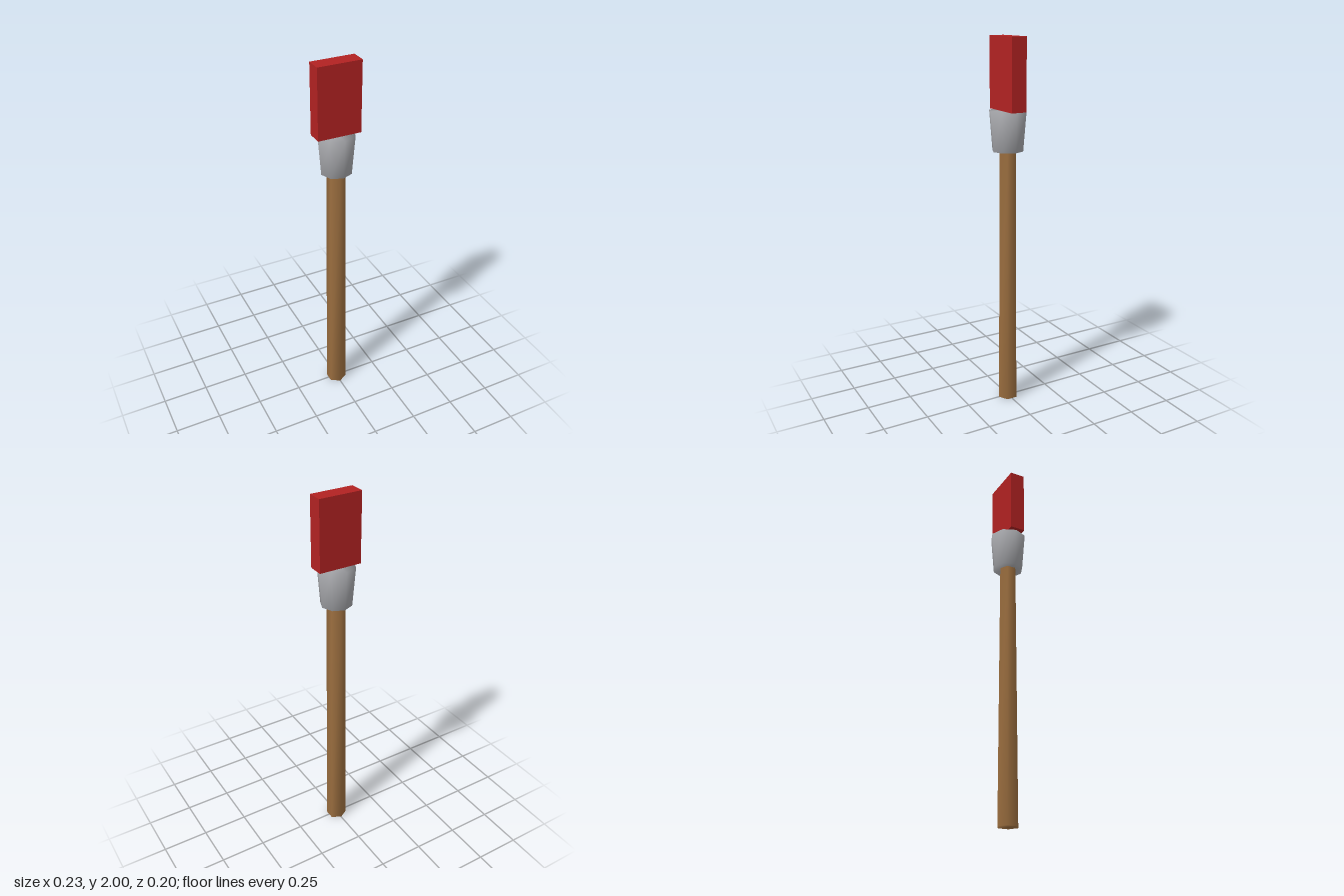
import * as THREE from 'three';
import { mergeVertices } from 'three/addons/utils/BufferGeometryUtils.js';

// Capped, tapered prism with normals smoothed across its rims
function softPrism(topRadius, bottomRadius, y0, y1, sides) {
  const raw = new THREE.CylinderGeometry(topRadius, bottomRadius, y1 - y0, sides);
  raw.deleteAttribute('normal');
  raw.deleteAttribute('uv');
  const geometry = mergeVertices(raw, 1e-4);
  geometry.computeVertexNormals();
  geometry.translate(0, (y0 + y1) / 2, 0);
  return geometry;
}

function part(name, geometry, color) {
  const mesh = new THREE.Mesh(geometry, new THREE.MeshStandardMaterial({ color }));
  mesh.name = name;
  return mesh;
}

export function createModel() {
  const group = new THREE.Group();
  group.name = 'brush';

  // Six-sided wooden handle, slightly thicker at the foot
  group.add(part('handle', softPrism(0.048, 0.057, 0, 1.42, 6), 0x9b6e3f));

  // Eight-sided metal collar flaring towards the head
  group.add(part('collar', softPrism(0.1, 0.083, 1.42, 1.63, 8), 0xa8a9ad));

  // Flat red head
  const head = new THREE.BoxGeometry(0.234, 0.37, 0.083);
  head.translate(0, 1.815, 0);
  group.add(part('head', head, 0xb22222));

  return group;
}
